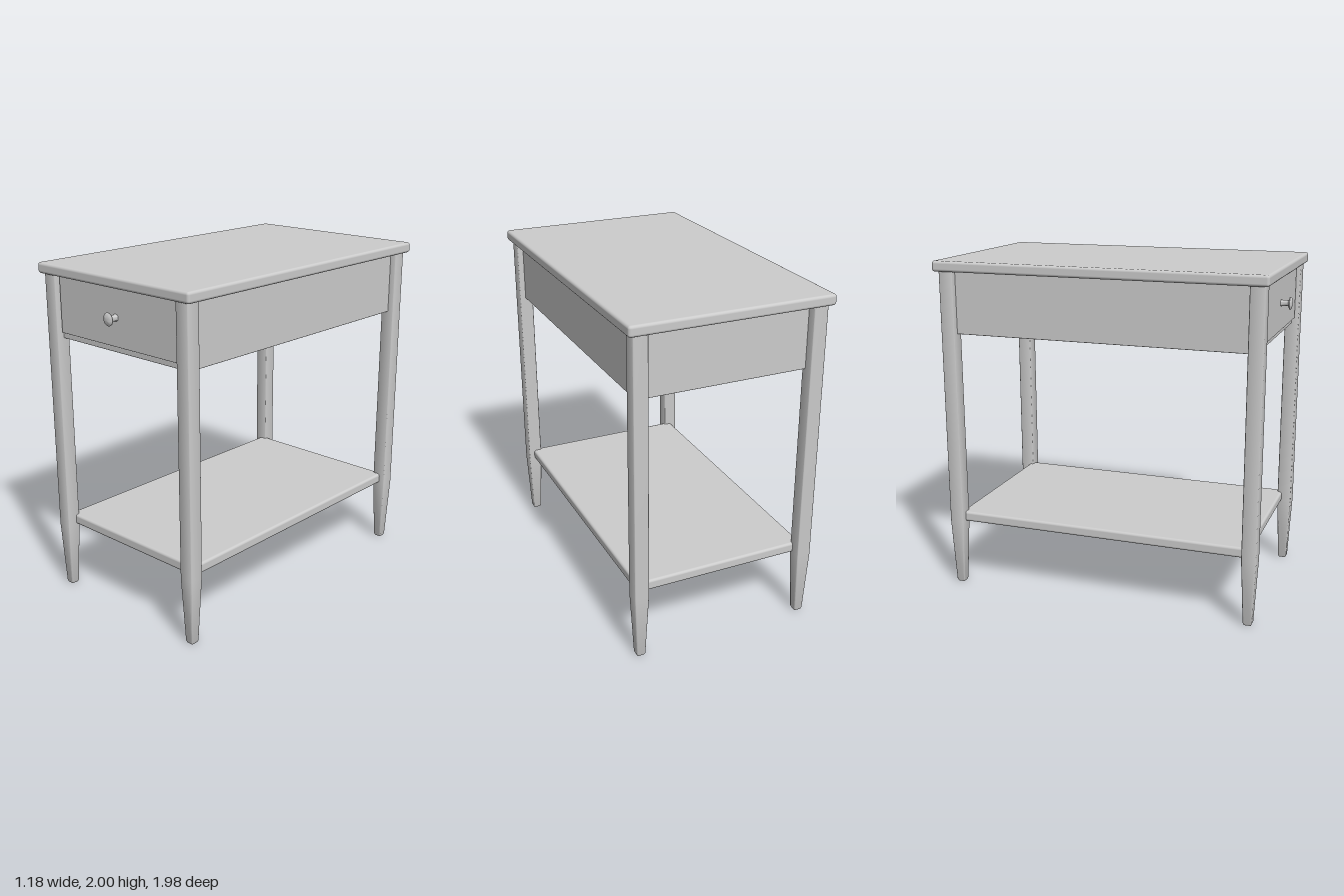
import * as THREE from 'three';
import { RoundedBoxGeometry } from 'three/addons/geometries/RoundedBoxGeometry.js';
import { toCreasedNormals } from 'three/addons/utils/BufferGeometryUtils.js';

const material = new THREE.MeshStandardMaterial({ color: 0xcccccc });

function add(group, name, geometry, x = 0, y = 0, z = 0) {
  const mesh = new THREE.Mesh(geometry, material);
  mesh.name = name;
  mesh.position.set(x, y, z);
  group.add(mesh);
  return mesh;
}

// Box given by its limits, with softened edges of radius r
function block(group, name, [x0, x1], [y0, y1], [z0, z1], r = 0.004) {
  const geometry = new RoundedBoxGeometry(x1 - x0, y1 - y0, z1 - z0, 3, r);
  return add(group, name, geometry, (x0 + x1) / 2, (y0 + y1) / 2, (z0 + z1) / 2);
}

// Square leg with rounded corners, straight above and tapered below the shelf
function legGeometry() {
  const h = 0.044, r = 0.012, c = h - r;
  const shape = new THREE.Shape();
  shape.absarc(c, c, r, 0, Math.PI / 2);
  shape.absarc(-c, c, r, Math.PI / 2, Math.PI);
  shape.absarc(-c, -c, r, Math.PI, Math.PI * 1.5);
  shape.absarc(c, -c, r, Math.PI * 1.5, Math.PI * 2);
  const geometry = new THREE.ExtrudeGeometry(shape, { depth: 3, steps: 3, bevelEnabled: false, curveSegments: 4 });
  geometry.rotateX(-Math.PI / 2);
  // One height and one scale for each ring, from the foot up
  const heights = [0, 0.012, 0.4, 1.95];
  const scales = [0.48, 0.6, 1, 1];
  const p = geometry.attributes.position;
  for (let i = 0; i < p.count; i++) {
    const ring = Math.round(p.getY(i));
    p.setXYZ(i, p.getX(i) * scales[ring], heights[ring], p.getZ(i) * scales[ring]);
  }
  return toCreasedNormals(geometry, 0.5);
}

export function createModel() {
  const table = new THREE.Group();
  table.name = 'sideTable';

  // Table top
  block(table, 'tableTop', [-0.592, 0.592], [1.938, 2], [-0.99, 0.972], 0.016);

  // Four legs
  const leg = legGeometry();
  for (const [end, z] of [['front', 0.906], ['back', -0.92]]) {
    for (const [side, x] of [['Left', 0.518], ['Right', -0.518]]) {
      add(table, end + side + 'Leg', leg, x, 0, z);
    }
  }

  // Drawer case: sides, back, bottom and the front frame
  for (const [side, s] of [['left', 1], ['right', -1]]) {
    const x = [0.49 * s, 0.525 * s].sort((a, b) => a - b);
    block(table, side + 'Apron', x, [1.57, 1.945], [-0.9, 0.89]);
    const stile = [0.468 * s, 0.5 * s].sort((a, b) => a - b);
    block(table, side + 'Stile', stile, [1.57, 1.945], [0.85, 0.9]);
  }
  block(table, 'backApron', [-0.5, 0.5], [1.57, 1.945], [-0.91, -0.875]);
  block(table, 'caseBottom', [-0.51, 0.51], [1.572, 1.59], [-0.9, 0.89]);
  block(table, 'frontRail', [-0.5, 0.5], [1.57, 1.602], [0.85, 0.905]);

  // Drawer front with a turned knob
  block(table, 'drawerFront', [-0.463, 0.463], [1.607, 1.936], [0.88, 0.925]);
  const profile = [
    [0, 0], [0.022, 0], [0.018, 0.008], [0.016, 0.04], [0.02, 0.046],
    [0.036, 0.053], [0.037, 0.057], [0.03, 0.063], [0.015, 0.068], [0, 0.07],
  ].map(([x, y]) => new THREE.Vector2(x, y));
  const knob = toCreasedNormals(new THREE.LatheGeometry(profile, 32), 0.7);
  knob.rotateX(Math.PI / 2);
  add(table, 'knob', knob, 0, 1.77, 0.922);

  // Lower shelf
  block(table, 'shelf', [-0.525, 0.525], [0.4, 0.462], [-0.905, 0.89], 0.015);

  return table;
}
